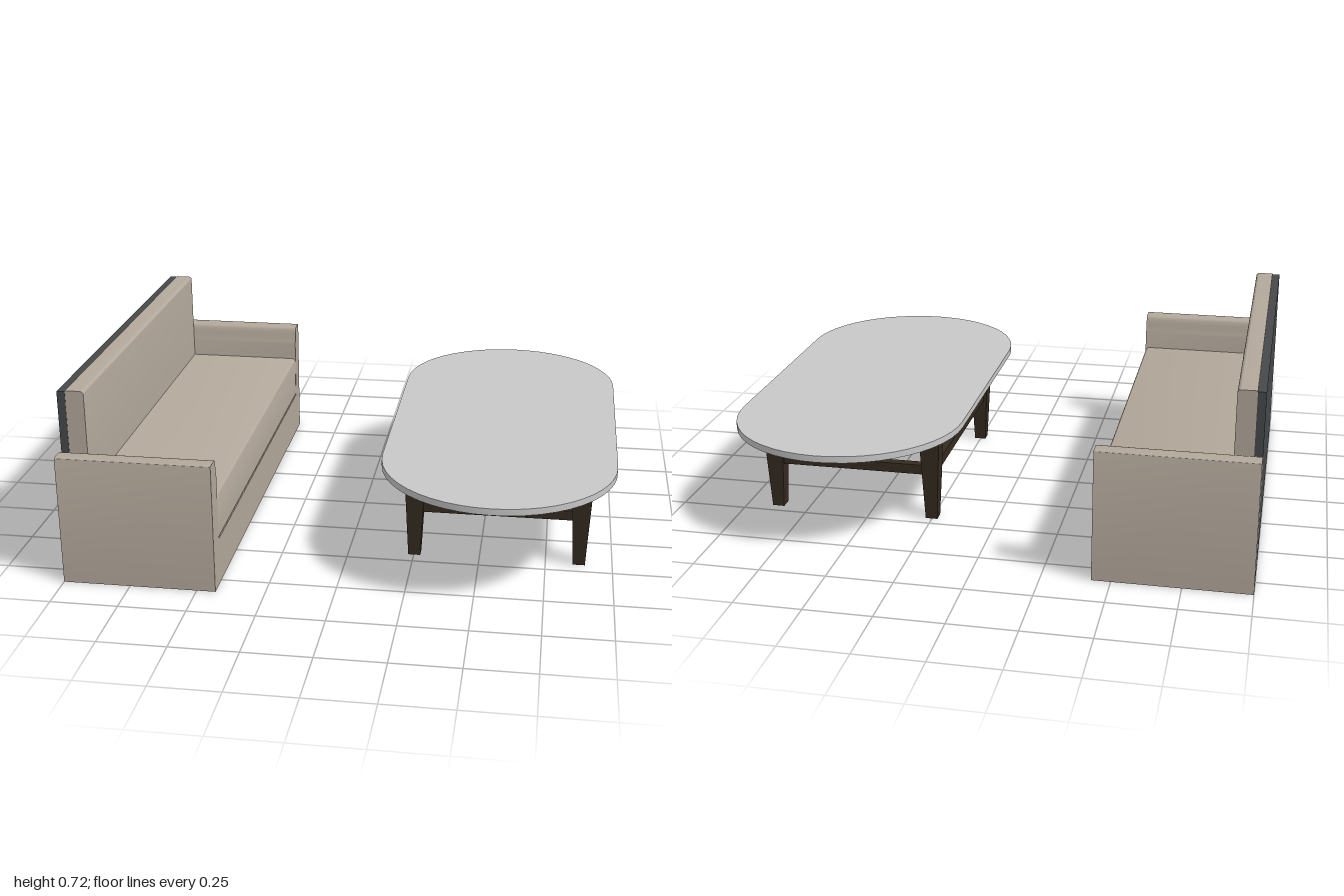
import * as THREE from 'three';
import { toCreasedNormals } from 'three/addons/utils/BufferGeometryUtils.js';

const material = (name, color) => {
  const m = new THREE.MeshStandardMaterial({ color });
  m.name = name;
  return m;
};

export function createModel() {
  const fabric = material('taupe fabric', 0xb3a89b);
  const charcoal = material('charcoal backing', 0x464849);
  const wood = material('dark wood', 0x352b20);
  const stone = material('pale grey top', 0xc8c8c8);

  const model = new THREE.Group();
  const sofa = new THREE.Group();
  sofa.name = 'sofa';
  const table = new THREE.Group();
  table.name = 'coffeeTable';
  model.add(sofa, table);

  const add = (group, name, geometry, mat) => {
    const mesh = new THREE.Mesh(geometry, mat);
    mesh.name = name;
    group.add(mesh);
    return mesh;
  };
  // Box given by its min and max on each axis
  const box = (group, name, mat, x0, x1, y0, y1, z0, z1) => {
    const mesh = add(group, name, new THREE.BoxGeometry(x1 - x0, y1 - y0, z1 - z0), mat);
    mesh.position.set((x0 + x1) / 2, (y0 + y1) / 2, (z0 + z1) / 2);
    return mesh;
  };
  const extrude = (shape, depth, curveSegments = 8) => toCreasedNormals(
    new THREE.ExtrudeGeometry(shape, { depth, bevelEnabled: false, curveSegments }), 0.6);

  // Profile in x and y with a rounded front top corner, swept along z
  const cushion = (name, x0, x1, y0, y1, r, halfLength) => {
    const s = new THREE.Shape();
    s.moveTo(x0, y0);
    s.lineTo(x1, y0);
    s.lineTo(x1, y1 - r);
    s.quadraticCurveTo(x1, y1, x1 - r, y1);
    s.lineTo(x0, y1);
    s.closePath();
    add(sofa, name, extrude(s, 2 * halfLength), fabric).position.z = -halfLength;
  };

  // Sofa body: plinth, recessed seam, seat and back cushions, rear panel
  const half = 0.765;
  box(sofa, 'plinth', fabric, -0.97, -0.43, 0, 0.175, -half, half);
  box(sofa, 'seam', fabric, -0.97, -0.438, 0.175, 0.181, -half, half);
  cushion('seatCushion', -0.97, -0.431, 0.181, 0.35, 0.018, half);
  cushion('backCushion', -0.97, -0.902, 0.35, 0.72, 0.014, half - 0.001);
  box(sofa, 'rearPanel', charcoal, -1, -0.97, 0, 0.717, -half, half);

  // Arms with a softened inner top edge
  for (const side of [1, -1]) {
    const s = new THREE.Shape();
    s.moveTo(side * 0.845, 0);
    s.lineTo(side * 0.845, 0.487);
    s.quadraticCurveTo(side * 0.845, 0.493, side * 0.839, 0.493);
    s.lineTo(side * 0.79, 0.493);
    s.bezierCurveTo(side * 0.772, 0.493, side * 0.776, 0.45, side * 0.765, 0.42);
    s.lineTo(side * 0.765, 0);
    s.closePath();
    const arm = add(sofa, side > 0 ? 'leftArm' : 'rightArm', extrude(s, 0.57), fabric);
    arm.rotation.y = -Math.PI / 2;
    arm.position.x = -0.43;
  }

  // Oval table top
  const oval = new THREE.Shape();
  oval.absarc(0, 0.435, 0.435, 0, Math.PI, false);
  oval.absarc(0, -0.435, 0.435, Math.PI, 2 * Math.PI, false);
  oval.closePath();
  const top = add(table, 'tableTop', extrude(oval, 0.025, 12), stone);
  top.rotation.x = -Math.PI / 2;
  top.position.set(0.562, 0.38, -0.002);

  // Tapered legs, each with two brackets under the top
  const legX = [0.252, 0.875];
  const legZ = [-0.433, 0.423];
  const taperedLeg = new THREE.CylinderGeometry(0.041 * Math.SQRT2, 0.023 * Math.SQRT2, 0.38, 4)
    .toNonIndexed().rotateY(Math.PI / 4);
  taperedLeg.computeVertexNormals();
  legX.forEach((x, i) => legZ.forEach((z, j) => {
    const inX = i === 0 ? 1 : -1;
    const inZ = j === 0 ? 1 : -1;
    const leg = new THREE.Group();
    leg.name = 'leg';
    leg.position.set(x, 0, z);
    table.add(leg);
    add(leg, 'legPost', taperedLeg, wood).position.y = 0.19;
    const bx = new THREE.BoxGeometry(0.128, 0.043, 0.042);
    add(leg, 'crossBracket', bx, wood).position.set(inX * 0.064, 0.3575, 0);
    const bz = new THREE.BoxGeometry(0.042, 0.043, 0.132);
    add(leg, 'longBracket', bz, wood).position.set(0, 0.3575, inZ * 0.066);
  }));

  // Stretcher rails joining the legs
  for (const z of legZ) {
    box(table, 'crossRail', wood, legX[0], legX[1], 0.18, 0.218, z - 0.018, z + 0.018);
  }
  for (const x of legX) {
    box(table, 'longRail', wood, x - 0.018, x + 0.018, 0.18, 0.218, legZ[0], legZ[1]);
  }

  return model;
}
